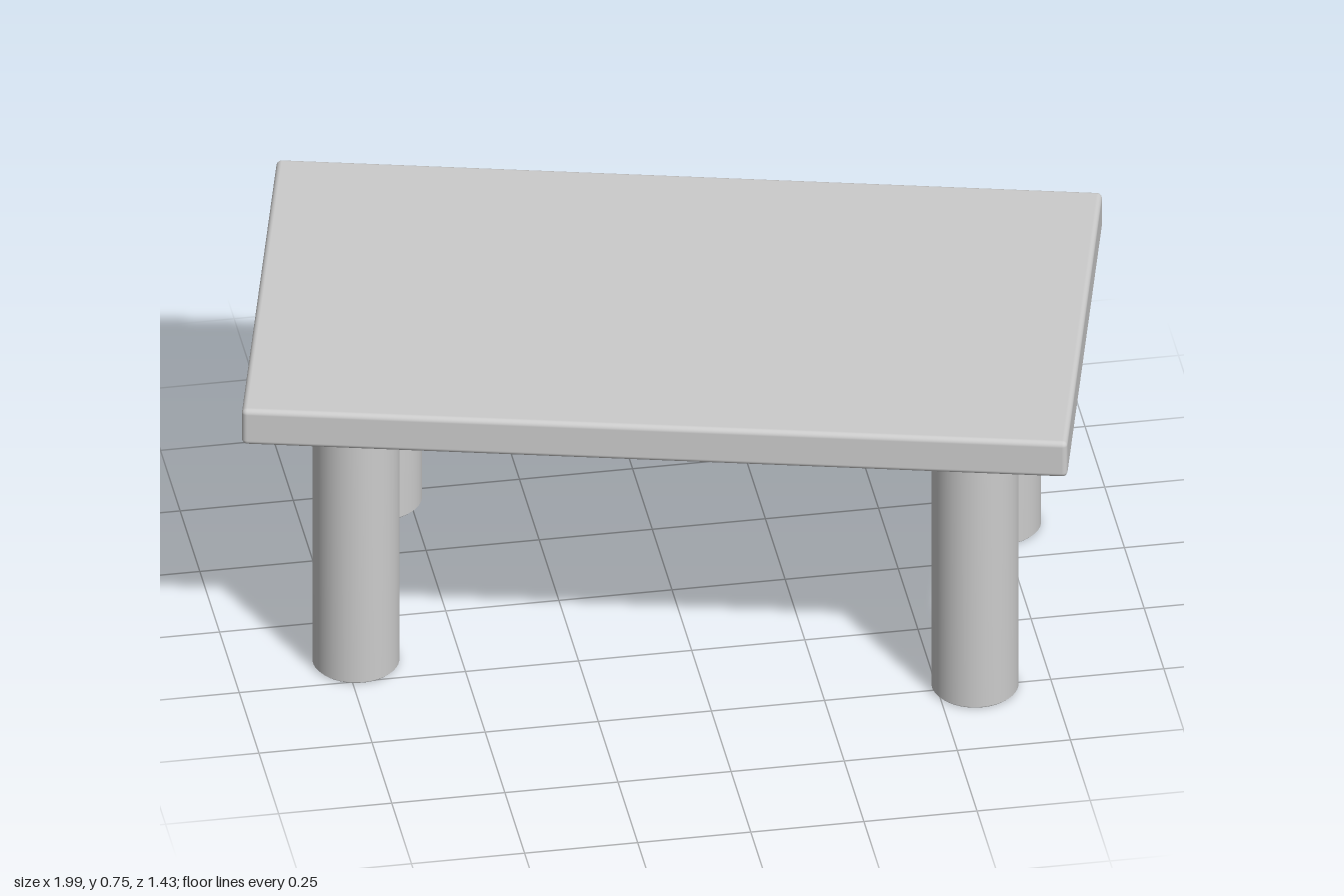
import * as THREE from 'three';
import { RoundedBoxGeometry } from 'three/addons/geometries/RoundedBoxGeometry.js';

export function createModel() {
  const group = new THREE.Group();
  group.name = 'table';
  const grey = new THREE.MeshStandardMaterial({ color: 0xcccccc });
  grey.name = 'light grey';

  // The whole table stands turned about the vertical axis
  const table = new THREE.Group();
  table.name = 'turnedTable';
  table.rotation.y = -0.247;
  group.add(table);

  // Slab with softly rounded edges
  const underside = 0.655, thickness = 0.09;
  const top = new THREE.Mesh(new RoundedBoxGeometry(1.803, thickness, 1.03, 3, 0.012), grey);
  top.name = 'tableTop';
  top.position.y = underside + thickness / 2;
  table.add(top);

  // Round legs with a small bevel at the foot, running slightly into the slab
  const r = 0.095, bevel = 0.005;
  const profile = [[0, 0], [r - bevel, 0], [r, bevel], [r, underside + 0.01]]
    .map(([x, y]) => new THREE.Vector2(x, y));
  const legGeometry = new THREE.LatheGeometry(profile, 40);
  for (const sx of [-1, 1]) {
    for (const sz of [-1, 1]) {
      const leg = new THREE.Mesh(legGeometry, grey);
      leg.name = (sz > 0 ? 'front' : 'back') + (sx > 0 ? 'Left' : 'Right') + 'Leg';
      leg.position.set(0.011 + sx * 0.676, 0, 0.008 + sz * 0.331);
      table.add(leg);
    }
  }
  return group;
}
